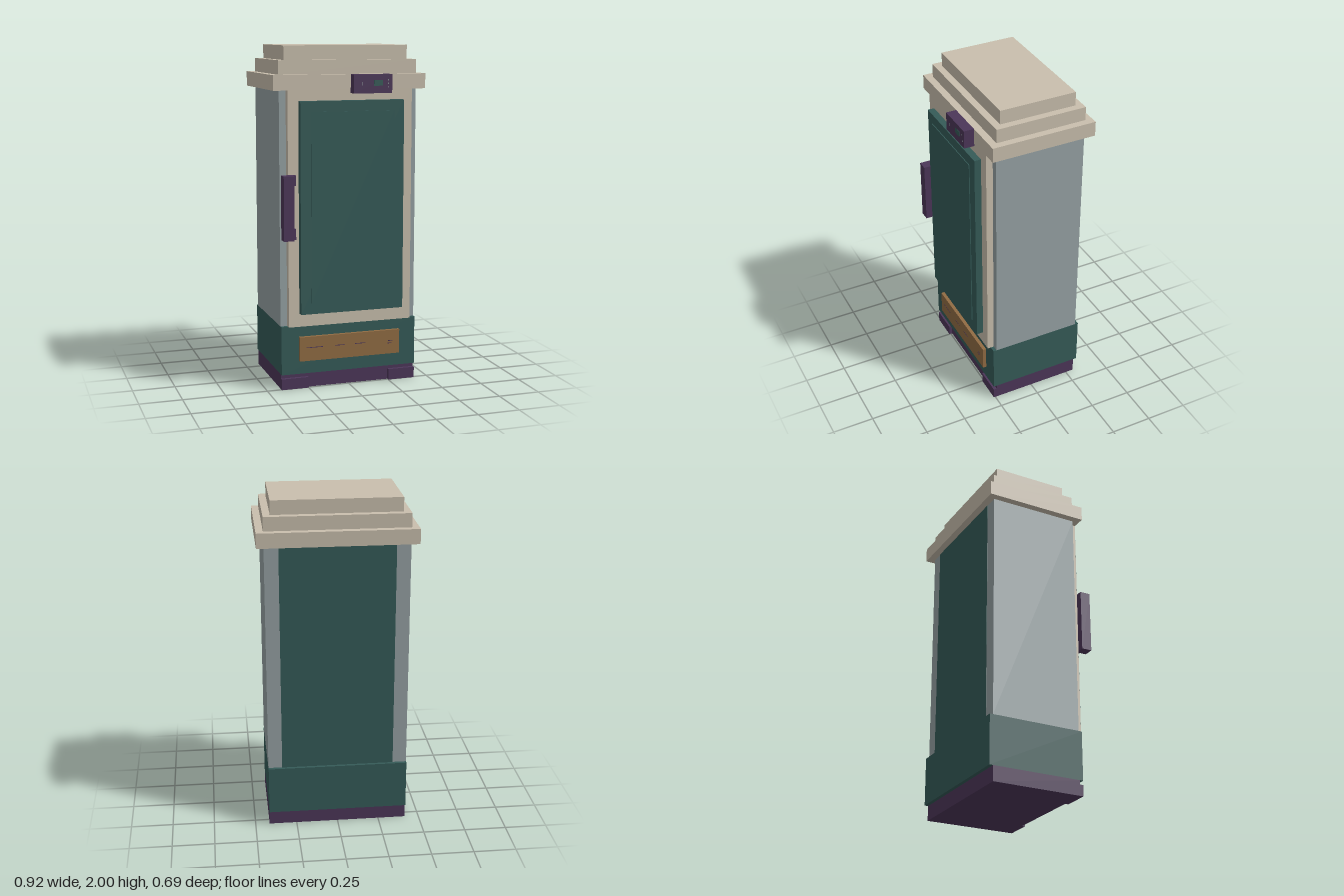
import * as THREE from 'three';

const mat = (name, color) => {
  const m = new THREE.MeshStandardMaterial({ color });
  m.name = name;
  return m;
};

export function createModel() {
  const root = new THREE.Group();
  root.name = 'cabinet';
  const cream = mat('cream', 0xc9bfad);
  const green = mat('dark green', 0x355b58);
  const grey = mat('blue grey', 0x96a2a4);
  const purple = mat('dark purple', 0x4c3659);
  const ochre = mat('ochre', 0x916c43);

  // Box given by its lower and upper limits on each axis
  const box = (name, material, x0, x1, y0, y1, z0, z1) => {
    const mesh = new THREE.Mesh(new THREE.BoxGeometry(x1 - x0, y1 - y0, z1 - z0), material);
    mesh.position.set((x0 + x1) / 2, (y0 + y1) / 2, (z0 + z1) / 2);
    mesh.name = name;
    root.add(mesh);
    return mesh;
  };

  // Plinth with two front feet
  box('plinth', purple, -0.415, 0.415, 0, 0.09, -0.3, 0.24);
  box('rightFoot', purple, -0.415, -0.25, 0, 0.065, 0.24, 0.26);
  box('leftFoot', purple, 0.25, 0.415, 0, 0.065, 0.24, 0.26);

  // Lower base and its front plate
  box('base', green, -0.415, 0.415, 0.09, 0.38, -0.322, 0.26);
  box('basePlate', ochre, -0.31, 0.31, 0.17, 0.315, 0.26, 0.281);
  for (const [x0, x1, y] of [[-0.27, -0.17, 0.25], [-0.095, -0.035, 0.25], [0.03, 0.095, 0.25],
    [0.24, 0.268, 0.25], [0.235, 0.26, 0.235]])
    box('plateMark', purple, x0, x1, y - 0.002, y + 0.002, 0.281, 0.282);

  // Body, back panel and front frame
  box('body', grey, -0.415, 0.415, 0.38, 1.75, -0.302, 0.24);
  box('backPanel', green, -0.333, 0.333, 0.38, 1.75, -0.304, -0.302);
  box('frontFrame', cream, -0.375, 0.375, 0.38, 1.75, 0.24, 0.28);

  // Door with a thin raised panel
  box('door', green, -0.312, 0.312, 0.46, 1.69, 0.28, 0.32);
  box('doorPanel', green, -0.25, 0.25, 0.525, 1.63, 0.32, 0.325);

  // Handle on two mounts
  box('handleBar', purple, -0.417, -0.355, 0.9, 1.272, 0.28, 0.342);
  for (const y of [0.9, 1.21])
    box('handleMount', purple, -0.355, -0.334, y, y + 0.062, 0.28, 0.3);

  // Stepped top
  box('lowerCap', cream, -0.458, 0.458, 1.75, 1.837, -0.345, 0.28);
  box('middleCap', cream, -0.416, 0.416, 1.837, 1.918, -0.304, 0.237);
  box('upperCap', cream, -0.374, 0.374, 1.918, 2, -0.262, 0.195);

  // Control box with a small display and marks
  box('controlBox', purple, 0, 0.23, 1.73, 1.837, 0.28, 0.341);
  box('display', green, 0.12, 0.172, 1.772, 1.805, 0.341, 0.342);
  box('displayMark', grey, 0.046, 0.05, 1.775, 1.795, 0.341, 0.342);
  for (const y of [1.765, 1.785, 1.805])
    box('displayMark', grey, 0.205, 0.208, y - 0.004, y + 0.004, 0.341, 0.342);

  return root;
}
